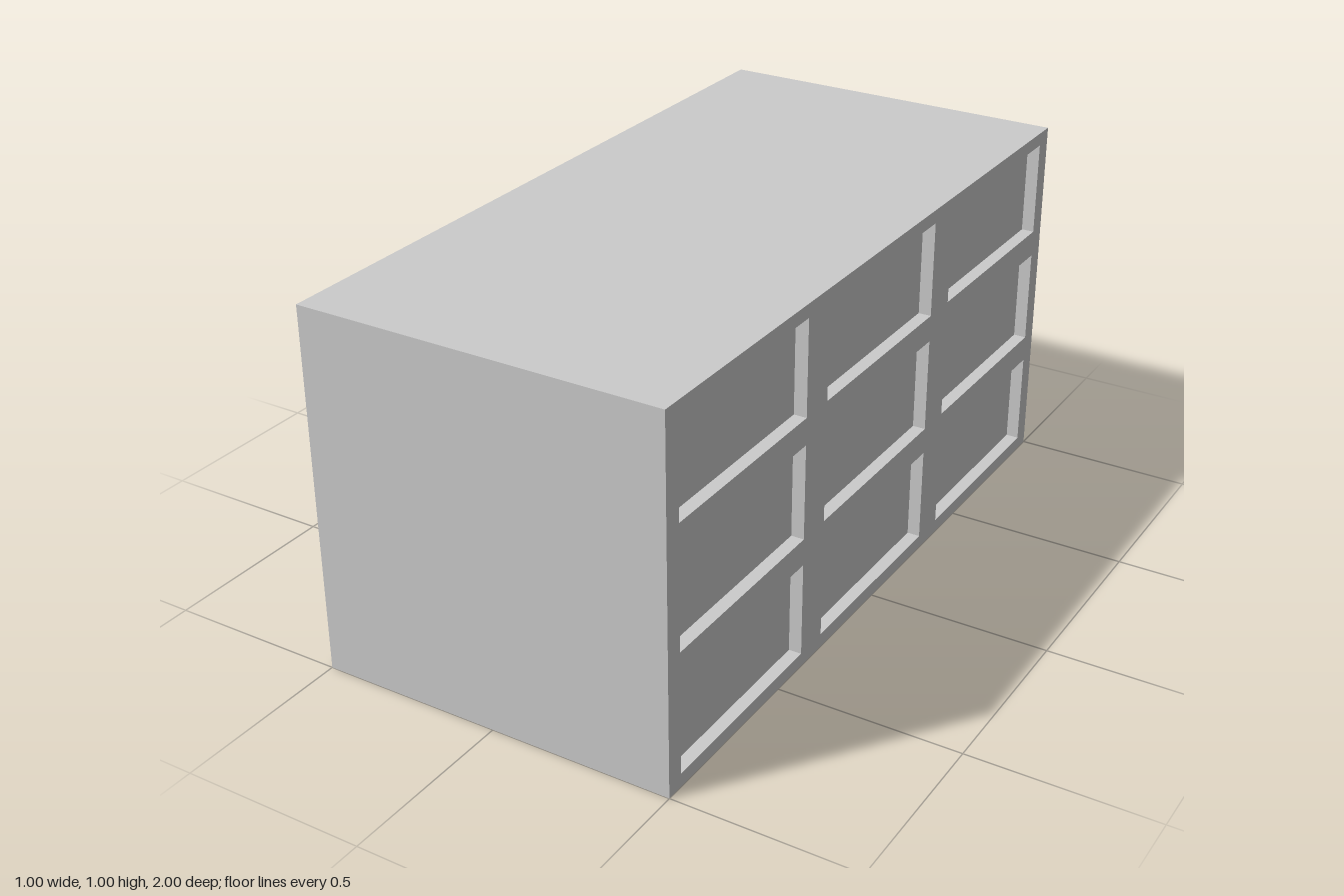
import * as THREE from 'three';

const WIDTH = 1, HEIGHT = 1, LENGTH = 2;
const DEPTH = 0.035; // recess depth
const OPEN_L = 0.565, OPEN_H = 0.26; // size of each opening
const PITCH_L = LENGTH / 3, PITCH_H = HEIGHT / 3;

// Adds a rectangle centred on (cx, cy) to a shape or path
function rect(path, cx, cy, w, h) {
  path.moveTo(cx - w / 2, cy - h / 2);
  path.lineTo(cx + w / 2, cy - h / 2);
  path.lineTo(cx + w / 2, cy + h / 2);
  path.lineTo(cx - w / 2, cy + h / 2);
  path.closePath();
  return path;
}

export function createModel() {
  const group = new THREE.Group();
  group.name = 'cabinet';
  const material = new THREE.MeshStandardMaterial({ color: 0xcccccc });

  // Solid body; its +x face forms the floors of the recesses
  const body = new THREE.Mesh(new THREE.BoxGeometry(WIDTH - DEPTH, HEIGHT, LENGTH), material);
  body.name = 'body';
  body.position.set(-DEPTH / 2, HEIGHT / 2, 0);
  group.add(body);

  // Frame on the +x side with a 3 x 3 grid of openings
  const outline = rect(new THREE.Shape(), 0, HEIGHT / 2, LENGTH, HEIGHT);
  for (let row = -1; row <= 1; row++) {
    for (let col = -1; col <= 1; col++) {
      outline.holes.push(
        rect(new THREE.Path(), col * PITCH_L, HEIGHT / 2 + row * PITCH_H, OPEN_L, OPEN_H));
    }
  }
  const frameGeometry = new THREE.ExtrudeGeometry(outline, { depth: DEPTH, bevelEnabled: false });
  frameGeometry.rotateY(Math.PI / 2);
  const frame = new THREE.Mesh(frameGeometry, material);
  frame.name = 'drawerFrame';
  frame.position.x = WIDTH / 2 - DEPTH;
  group.add(frame);

  return group;
}
